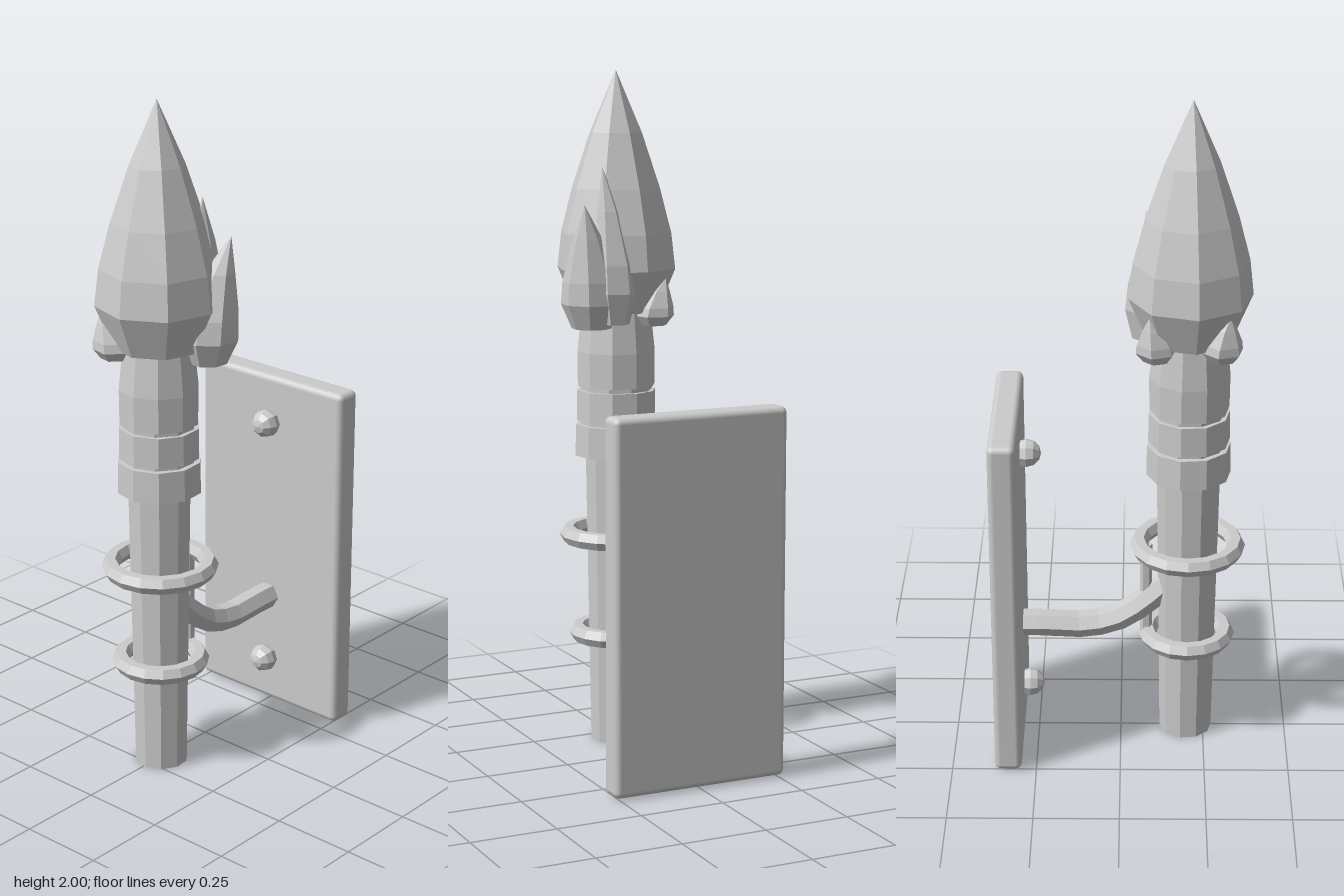
import * as THREE from 'three';
import { RoundedBoxGeometry } from 'three/addons/geometries/RoundedBoxGeometry.js';

const AXIS_Z = 0.197; // torch axis

export function createModel() {
  const group = new THREE.Group();
  const stone = new THREE.MeshStandardMaterial({ color: 0xcccccc });
  stone.name = 'pale grey';
  stone.flatShading = true;
  const smooth = new THREE.MeshStandardMaterial({ color: 0xcccccc });
  smooth.name = 'smooth pale grey';

  const add = (name, geo, x = 0, y = 0, z = 0, mat = stone) => {
    const m = new THREE.Mesh(geo, mat);
    m.name = name;
    m.position.set(x, y, z);
    group.add(m);
    return m;
  };
  const lathe = (pts, sides, phi = 0) =>
    new THREE.LatheGeometry(pts.map(([r, y]) => new THREE.Vector2(r, y)), sides, phi);

  // Flame tongue: pointed bud whose spine bends towards (dx, dz) at the tip
  const tongue = (r, h, dx, dz, sides = 8) => {
    const g = lathe([[0, 0], [r * 0.65, 0], [r, h * 0.2], [r * 0.92, h * 0.38],
      [r * 0.5, h * 0.72], [0, h]], sides, 0.3);
    const p = g.attributes.position;
    for (let i = 0; i < p.count; i++) {
      const t = (p.getY(i) / h) ** 2;
      p.setX(i, p.getX(i) + dx * t);
      p.setZ(i, p.getZ(i) + dz * t);
    }
    g.computeVertexNormals();
    return g;
  };

  // Wall plate and rivets
  add('wallPlate', new RoundedBoxGeometry(0.534, 1.07, 0.08, 2, 0.018), 0, 0.54, -0.333, smooth);
  for (const y of [0.15, 0.93]) {
    const rivet = add('rivet', new THREE.SphereGeometry(0.043, 8, 6), 0, y, -0.275);
    rivet.rotation.x = Math.PI / 2;
  }

  // Curved arm from plate to staff
  const armPath = new THREE.CatmullRomCurve3([
    [0.36, -0.31], [0.36, -0.22], [0.355, -0.12], [0.375, -0.02], [0.425, 0.06], [0.5, 0.14],
  ].map(([y, z]) => new THREE.Vector3(0, y, z)));
  add('arm', new THREE.TubeGeometry(armPath, 8, 0.04, 6));

  // Holding rings joined by an upright bar
  for (const [y, r] of [[0.63, 0.143], [0.33, 0.116]]) {
    const ring = add('holdingRing', new THREE.TorusGeometry(r, 0.027, 6, 16), 0, y, AXIS_Z);
    ring.rotation.x = Math.PI / 2;
  }
  add('ringBar', new THREE.CylinderGeometry(0.018, 0.018, 0.3, 6), 0, 0.48, 0.075);

  // Staff and head collars
  add('staff', lathe([[0, 0], [0.079, 0], [0.094, 0.95], [0, 0.95]], 10, 0.1), 0, 0, AXIS_Z);
  add('lowerCollar', lathe([[0, 0.87], [0.124, 0.87], [0.122, 0.963], [0, 0.963]], 10, 0.1), 0, 0, AXIS_Z);
  add('upperCollar', lathe([[0, 0.975], [0.119, 0.975], [0.118, 1.065], [0, 1.065]], 10, 0.1), 0, 0, AXIS_Z);
  add('collarCore', new THREE.CylinderGeometry(0.106, 0.106, 0.2, 10), 0, 1.0, AXIS_Z);
  add('torchHead', lathe([[0, 1.078], [0.116, 1.078], [0.117, 1.18], [0.103, 1.31], [0, 1.31]], 10, 0.1),
    0, 0, AXIS_Z);

  // Main flame
  add('mainFlame', lathe([[0, 1.3], [0.125, 1.3], [0.178, 1.425], [0.166, 1.53], [0.132, 1.66],
    [0.078, 1.82], [0, 2]], 8, 0.11), 0, 0, AXIS_Z);

  // Side tongues and small licks around the base
  add('sideFlame', tongue(0.088, 0.36, 0.042, -0.048), 0.115, 1.26, 0.118);
  add('thinFlame', tongue(0.065, 0.45, 0.025, 0.035, 6), 0.06, 1.275, 0.072);
  add('smallFlame', tongue(0.06, 0.14, -0.03, 0.02, 6), -0.085, 1.268, 0.285);
  add('smallFlame', tongue(0.06, 0.14, -0.03, -0.02, 6), -0.075, 1.262, 0.1);

  return group;
}
